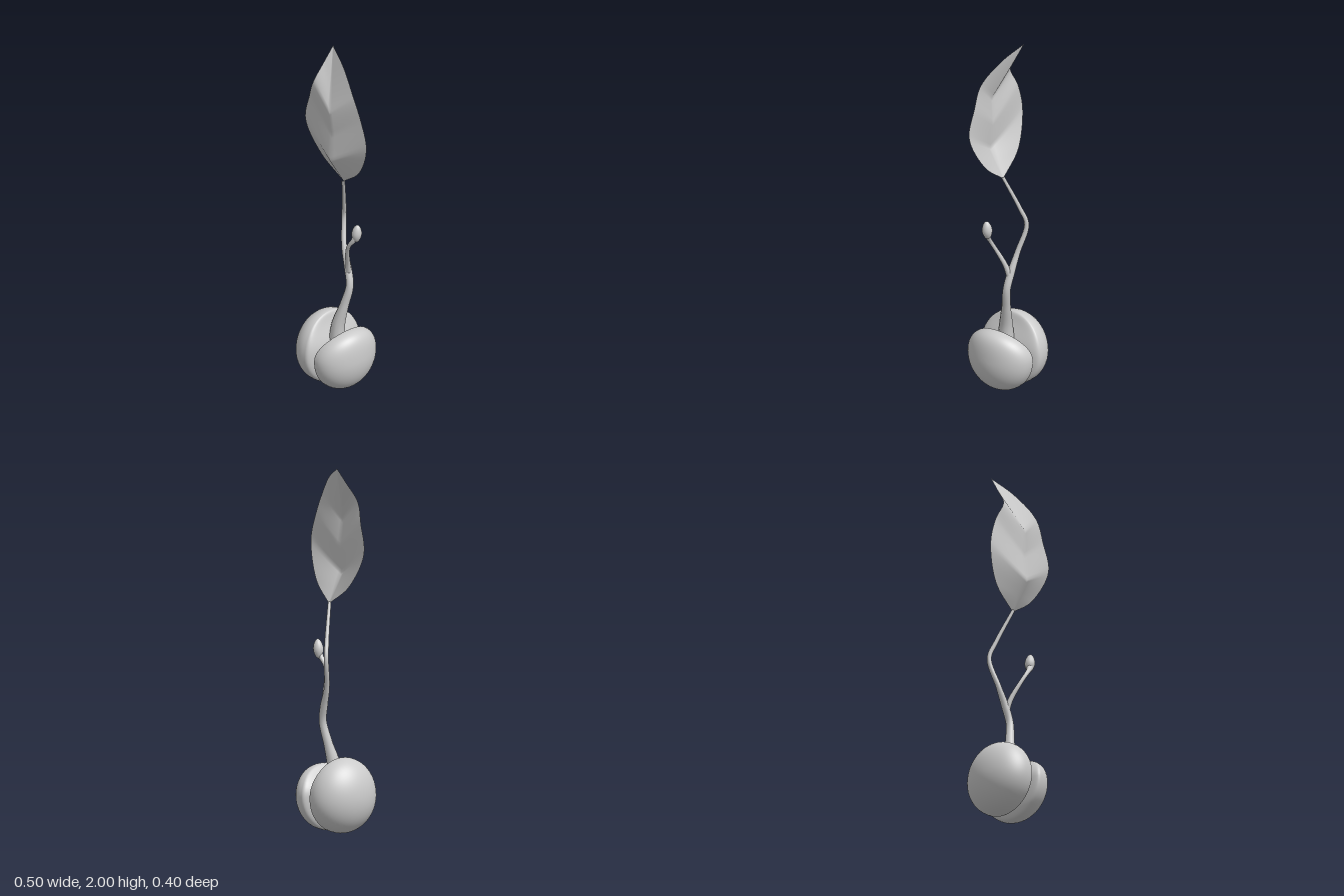
import * as THREE from 'three';
import { mergeVertices } from 'three/addons/utils/BufferGeometryUtils.js';
import { ParametricGeometry } from 'three/addons/geometries/ParametricGeometry.js';

const grey = new THREE.MeshStandardMaterial({ color: 0xcccccc });
const greyThin = new THREE.MeshStandardMaterial({ color: 0xcccccc, side: THREE.DoubleSide });

const curve = (pts) => new THREE.CatmullRomCurve3(pts.map((p) => new THREE.Vector3(...p)));

function part(name, geometry, material = grey) {
  const mesh = new THREE.Mesh(geometry, material);
  mesh.name = name;
  return mesh;
}

// Tube whose radius follows the fourth number of each point [x, y, z, radius]
function taperedStem(points) {
  const path = curve(points);
  const n = 60, sides = 12;
  const geo = new THREE.TubeGeometry(path, n, 1, sides);
  const pos = geo.attributes.position;
  const v = new THREE.Vector3();
  for (let i = 0; i <= n; i++) {
    const centre = path.getPointAt(i / n);
    const t = path.getUtoTmapping(i / n) * (points.length - 1);
    const k = Math.min(Math.floor(t), points.length - 2);
    const r = THREE.MathUtils.lerp(points[k][3], points[k + 1][3], t - k);
    for (let j = 0; j <= sides; j++) {
      const id = i * (sides + 1) + j;
      v.fromBufferAttribute(pos, id).sub(centre).multiplyScalar(r).add(centre);
      pos.setXYZ(id, v.x, v.y, v.z);
    }
  }
  return geo;
}

// One half of the seed: round outside, flat inside, opening towards the top
function seedHalf({ dir, cx, outer, inner, top, lean }) {
  let geo = new THREE.SphereGeometry(1, 48, 40).rotateZ(-Math.PI / 2);
  geo.deleteAttribute('uv');
  geo.deleteAttribute('normal');
  geo = mergeVertices(geo, 1e-4);
  const pos = geo.attributes.position;
  for (let i = 0; i < pos.count; i++) {
    const nx = pos.getX(i), ny = pos.getY(i), nz = pos.getZ(i);
    const up = Math.max(0, ny);
    let x;
    if (nx * dir > 0) {
      x = nx * outer;
    } else {
      const open = THREE.MathUtils.smoothstep(ny, 0.1, 0.9);
      x = -dir * Math.pow(Math.abs(nx), 0.45) * inner * (1 - 0.55 * open * (1 - 0.5 * nz * nz));
    }
    x += cx + dir * lean * up * up;
    pos.setXYZ(i, x, 0.205 + ny * (ny > 0 ? top : 0.2), nz * 0.198);
  }
  geo.computeVertexNormals();
  return geo;
}

// Leaf: straight sections from the left edge over the midrib to the right edge
const base = [0.01, 1.24, -0.008], tip = [-0.12, 2.0, -0.05];
const leftEdge = curve([base, [-0.15, 1.355, 0.01], [-0.235, 1.54, 0.045], [-0.2, 1.7, 0.05],
  [-0.152, 1.81, 0.065], [-0.133, 1.92, 0.0], tip]);
const rightEdge = curve([base, [0.15, 1.35, 0.01], [0.245, 1.55, 0.045], [0.2, 1.7, 0.045],
  [0.142, 1.82, 0.045], [0.02, 1.93, 0.0], tip]);
const midrib = [base, [0.01, 1.4, 0.093], [0.005, 1.55, 0.078], [0, 1.69, 0.09], tip]
  .map((p) => new THREE.Vector3(...p));
const midribStops = [0, 1 / 3, 1 / 2, 2 / 3, 1];

function midribAt(t) {
  let k = 0;
  while (k < 3 && t > midribStops[k + 1]) k++;
  const f = (t - midribStops[k]) / (midribStops[k + 1] - midribStops[k]);
  return midrib[k].clone().lerp(midrib[k + 1], f);
}

function leafLayer(thickness) {
  const geo = new ParametricGeometry((u, v, target) => {
    const across = u * 2 - 1;
    const edge = (across < 0 ? leftEdge : rightEdge).getPoint(v);
    target.copy(midribAt(v)).lerp(edge, Math.abs(across));
    target.z -= thickness * (1 - across * across) * Math.sin(Math.PI * v);
  }, 20, 48);
  geo.computeVertexNormals();
  return geo;
}

export function createModel() {
  const model = new THREE.Group();
  model.name = 'seedling';

  // Split seed
  model.add(part('seedHalfRight',
    seedHalf({ dir: -1, cx: -0.1, outer: 0.15, inner: 0.068, top: 0.212, lean: 0.005 })));
  model.add(part('seedHalfLeft',
    seedHalf({ dir: 1, cx: 0.02, outer: 0.138, inner: 0.056, top: 0.157, lean: 0.05 })));

  // Main stem up to the leaf
  model.add(part('mainStem', taperedStem([
    [-0.03, 0.22, 0.005, 0.05], [-0.025, 0.36, 0, 0.038], [0.0, 0.48, -0.02, 0.025],
    [0.022, 0.6, -0.04, 0.021], [-0.002, 0.69, -0.05, 0.021], [-0.045, 0.8, -0.062, 0.015],
    [-0.083, 0.96, -0.095, 0.013], [-0.055, 1.06, -0.07, 0.012], [0.01, 1.25, -0.004, 0.009],
  ])));

  // Side shoot with its bud
  model.add(part('sideShoot', taperedStem([
    [0.005, 0.67, -0.048, 0.018], [0.02, 0.74, -0.028, 0.014], [0.058, 0.84, 0.01, 0.011],
    [0.085, 0.89, 0.022, 0.011], [0.115, 0.93, 0.018, 0.014], [0.125, 0.95, 0.014, 0.02],
  ])));
  const budProfile = [[0, -0.052], [0.014, -0.042], [0.025, -0.018], [0.028, 0.005],
    [0.023, 0.03], [0.012, 0.05], [0, 0.058]].map(([x, y]) => new THREE.Vector2(x, y));
  const bud = part('bud', new THREE.LatheGeometry(new THREE.SplineCurve(budProfile).getPoints(18), 16));
  bud.position.set(0.13, 0.972, 0.01);
  bud.rotation.z = -0.12;
  model.add(bud);

  // Thin leaf, front and back skins meeting at the rim
  const leaf = new THREE.Group();
  leaf.name = 'leaf';
  leaf.add(part('leafFront', leafLayer(0), greyThin), part('leafBack', leafLayer(0.016), greyThin));
  model.add(leaf);

  return model;
}
